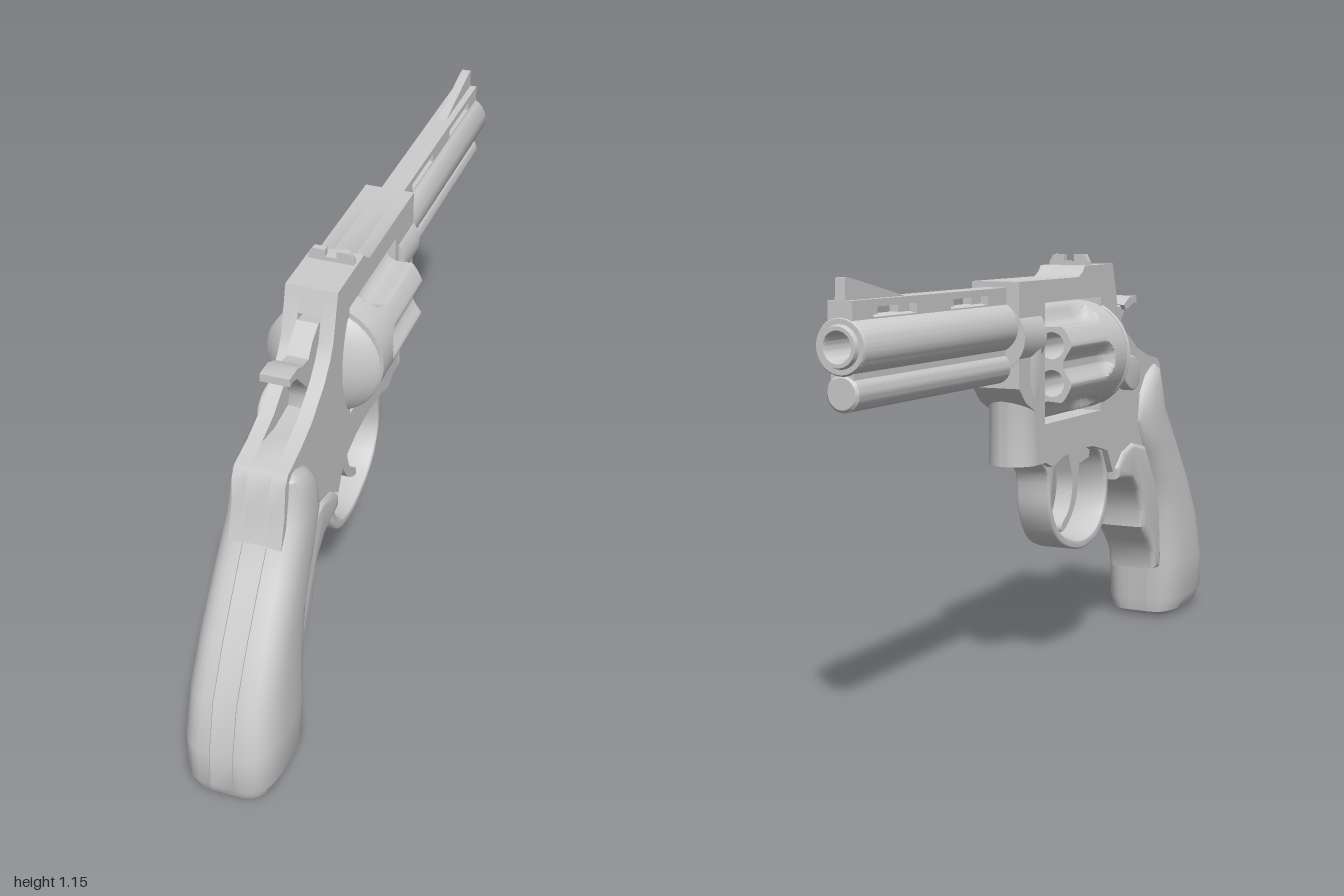
import * as THREE from 'three';
import { toCreasedNormals } from 'three/addons/utils/BufferGeometryUtils.js';

const grey = new THREE.MeshStandardMaterial({ color: 0xcccccc });
const greyDouble = new THREE.MeshStandardMaterial({ color: 0xcccccc, side: THREE.DoubleSide });

// Profiles are [z, y] points; returned counter-clockwise so that outlines and holes both face out
function toVectors(pts, smooth) {
  let v = pts.map(([z, y]) => new THREE.Vector2(-z, y));
  if (smooth) {
    const c = new THREE.CatmullRomCurve3(v.map(p => new THREE.Vector3(p.x, p.y, 0)), true, 'centripetal');
    v = c.getPoints(pts.length * 4).slice(0, -1).map(p => new THREE.Vector2(p.x, p.y));
  }
  return THREE.ShapeUtils.isClockWise(v) ? v.reverse() : v;
}

// Profile extruded sideways from x0 to x1
function slab(name, pts, x0, x1, { holes = [], smooth = false, bevel = 0 } = {}) {
  const shape = new THREE.Shape(toVectors(pts, smooth));
  for (const h of holes) shape.holes.push(new THREE.Path(toVectors(h, smooth)));
  const geo = new THREE.ExtrudeGeometry(shape, {
    depth: x1 - x0 - 2 * bevel, bevelEnabled: bevel > 0, bevelThickness: bevel,
    bevelSize: bevel, bevelOffset: -bevel, bevelSegments: 3,
  });
  geo.rotateY(Math.PI / 2).translate(x0 + bevel, 0, 0);
  return part(name, geo);
}

function part(name, geo, mat = grey) {
  const mesh = new THREE.Mesh(toCreasedNormals(geo, 0.6), mat);
  mesh.name = name;
  return mesh;
}

// Round bar along z
function rod(name, r, z0, z1, y) {
  const geo = new THREE.CylinderGeometry(r, r, z1 - z0, 32).rotateX(Math.PI / 2);
  return part(name, geo.translate(0, y, (z0 + z1) / 2));
}

// Solid of revolution along z from [radius, z] points
function turned(name, pts, y) {
  const geo = new THREE.LatheGeometry(pts.map(p => new THREE.Vector2(...p)), 40);
  return part(name, geo.rotateX(Math.PI / 2).translate(0, y, 0), greyDouble);
}

// Fluted drum with six chambers
function makeDrum() {
  const R = 0.154, Z0 = -0.106, Z1 = 0.238, step = Math.PI / 3;
  const radius = (a, z) => {
    const k = Math.max(0, (z - 0.11) / 0.05);
    if (k >= 1) return R;
    const w = 0.05 * Math.sqrt(1 - k * k);
    const t = R * Math.sin(a - Math.round(a / step) * step) / w;
    return R - Math.max(0, 0.7 * w * (1 - t * t));
  };
  const g = new THREE.Group();
  g.name = 'drum';
  const wall = new THREE.CylinderGeometry(1, 1, Z1 - Z0, 180, 44, true)
    .rotateX(Math.PI / 2).translate(0, 0, (Z0 + Z1) / 2);
  const p = wall.attributes.position;
  for (let i = 0; i < p.count; i++) {
    const a = Math.atan2(p.getY(i), p.getX(i)), r = radius(a, p.getZ(i));
    p.setXY(i, r * Math.cos(a), r * Math.sin(a));
  }
  g.add(part('drumWall', wall));
  const face = new THREE.Shape(Array.from({ length: 180 }, (_, i) => {
    const a = i * Math.PI / 90, r = radius(a, Z0);
    return new THREE.Vector2(r * Math.cos(a), r * Math.sin(a));
  }));
  for (let i = 0; i < 6; i++) {
    const a = (i + 0.5) * step, x = 0.1 * Math.cos(a), y = 0.1 * Math.sin(a);
    face.holes.push(new THREE.Path().absarc(x, y, 0.036, 0, Math.PI * 2, true));
    const bore = new THREE.CylinderGeometry(0.036, 0.036, 0.3, 24, 1, true).rotateX(Math.PI / 2);
    g.add(part('chamber', bore.translate(x, y, Z0 + 0.15), greyDouble));
  }
  g.add(part('drumFace', new THREE.ShapeGeometry(face, 24).translate(0, 0, Z0), greyDouble));
  g.add(part('drumBack', new THREE.CircleGeometry(R, 60).translate(0, 0, Z1), greyDouble));
  g.position.y = 0.872;
  return g;
}

// Stations of the grip, bottom to top: back z, y, front z, y, half-width
const gripStations = [
  [0.93, 0.01, 0.73, 0.006, 0.085], [0.985, 0.033, 0.695, 0.022, 0.11], [1, 0.07, 0.688, 0.06, 0.124],
  [0.993, 0.174, 0.684, 0.2, 0.128], [0.955, 0.31, 0.665, 0.345, 0.121], [0.88, 0.44, 0.634, 0.452, 0.115],
  [0.784, 0.576, 0.57, 0.55, 0.11], [0.704, 0.683, 0.517, 0.65, 0.106], [0.683, 0.763, 0.53, 0.735, 0.1],
  [0.68, 0.8, 0.57, 0.785, 0.088], [0.665, 0.815, 0.62, 0.81, 0.07],
];

// One grip panel, lofted with a rounded outer side and flat inner side
function gripPanel(name, side) {
  const n = 16, inner = 0.0315, pos = [], idx = [];
  for (const [bz, by, fz, fy, w] of gripStations) {
    for (let j = 0; j <= n; j++) {
      const t = Math.PI * j / n, c = Math.cos(t);
      const k = 0.5 - 0.5 * Math.sign(c) * Math.abs(c) ** 0.75;
      const x = inner + (w - inner) * Math.abs(Math.sin(t)) ** 0.7;
      pos.push(side * x, by + (fy - by) * k, bz + (fz - bz) * k);
    }
  }
  const m = n + 1, last = (gripStations.length - 1) * m;
  const tri = (a, b, c) => (side > 0 ? idx.push(a, b, c) : idx.push(a, c, b));
  for (let i = 0; i < last; i += m) {
    for (let j = 0; j < m; j++) {
      const k = (j + 1) % m;
      tri(i + j, i + k, i + m + j);
      tri(i + k, i + m + k, i + m + j);
    }
  }
  for (let j = 1; j < n; j++) {
    tri(0, j + 1, j);
    tri(last, last + j, last + j + 1);
  }
  const geo = new THREE.BufferGeometry();
  geo.setAttribute('position', new THREE.Float32BufferAttribute(pos, 3));
  geo.setIndex(idx);
  return part(name, geo, greyDouble);
}

export function createModel() {
  const model = new THREE.Group();
  model.name = 'revolver';
  const add = (...m) => model.add(...m);

  // Frame: two side plates and a core with the hammer slot
  const base = [[0.33, 1.125], [0.14, 1.125], [0.125, 1.108], [0.1, 1.095], [-0.26, 1.095], [-0.26, 0.82],
    [-0.222, 0.78], [-0.16, 0.75], [-0.15, 0.608], [-0.104, 0.608], [-0.06, 0.59], [0, 0.61], [0.1, 0.62],
    [0.2, 0.615], [0.3, 0.59], [0.34, 0.52], [0.37, 0.545], [0.42, 0.57], [0.5, 0.57], [0.58, 0.535],
    [0.735, 0.64], [0.708, 0.72], [0.697, 0.8], [0.677, 0.827], [0.597, 0.843]];
  const back = [[0.517, 0.87], [0.43, 0.924], [0.39, 0.965], [0.367, 1.0]];
  const slot = [[0.52, 0.83], [0.4, 0.84], [0.31, 0.95], [0.31, 1.05], [0.35, 1.06]];
  const holes = [[[0.25, 1.035], [0.25, 0.712], [-0.11, 0.712], [-0.11, 1.035]]];
  add(slab('frameSideLeft', [...base, ...back], 0.03, 0.068, { holes }));
  add(slab('frameSideRight', [...base, ...back], -0.068, -0.03, { holes }));
  add(slab('frameCore', [...base, ...slot], -0.03, 0.03, { holes }));

  // Rounded front of the frame below the barrel
  const lug = [[0, 0.608], [0.068, 0.608], [0.068, 0.775], [0.08, 0.83], [0.08, 0.92]];
  add(part('frameLug', new THREE.LatheGeometry(lug.map(p => new THREE.Vector2(...p)), 24, Math.PI / 2, Math.PI)
    .translate(0, 0, -0.154), greyDouble));
  add(rod('barrelCollar', 0.086, -0.262, -0.135, 0.95));
  add(rod('drumAxle', 0.035, -0.14, 0.2, 0.872));
  add(turned('recoilShield', [[0, 0.25], [0.152, 0.25], [0.155, 0.258], [0.148, 0.268],
    [0.11, 0.29], [0.068, 0.305], [0, 0.318]], 0.872));
  add(makeDrum());

  // Barrel and under-lug
  add(turned('barrel', [[0, -0.8], [0.032, -0.8], [0.032, -0.99], [0.037, -1], [0.046, -1], [0.05, -0.988],
    [0.062, -0.988], [0.066, -0.982], [0.066, -0.12]], 0.979));
  add(turned('underLug', [[0, -0.985], [0.036, -0.985], [0.043, -0.978], [0.043, -0.2]], 0.875));
  add(slab('lugWeb', [[-0.2, 0.93], [-0.98, 0.93], [-0.98, 0.88], [-0.2, 0.88]], -0.03, 0.03));

  // Rib: long recesses in the outer layers, shorter openings through the core
  const ribOutline = [[-0.25, 1.08], [-0.985, 1.08], [-0.985, 1.02], [-0.25, 1.02]];
  const ribSlot = (a, b) => [[a, 1.04], [a, 1.063], [b, 1.063], [b, 1.04]];
  for (const [x0, x1, inset] of [[-0.032, -0.012, 0], [-0.012, 0.012, 0.05], [0.012, 0.032, 0]]) {
    add(slab('rib', ribOutline, x0, x1,
      { holes: [ribSlot(-0.36 - inset, -0.55 + inset), ribSlot(-0.71 - inset, -0.9 + inset)] }));
  }

  // Sights
  add(slab('frontSight', [[-0.71, 1.075], [-0.965, 1.13], [-0.982, 1.13], [-0.985, 1.075]], -0.013, 0.013));
  const sight = new THREE.Shape([[-0.06, 1.115], [0.06, 1.115], [0.06, 1.135], [0.048, 1.155], [0.015, 1.155],
    [0.015, 1.136], [-0.015, 1.136], [-0.015, 1.155], [-0.048, 1.155], [-0.06, 1.135]]
    .map(p => new THREE.Vector2(...p)));
  add(part('rearSight', new THREE.ExtrudeGeometry(sight, { depth: 0.018, bevelEnabled: false })
    .translate(0, 0, 0.18)));

  // Hammer with a wider thumb spur
  add(slab('hammer', [[0.36, 1.047], [0.404, 1.02], [0.43, 0.988], [0.463, 0.993], [0.5, 1.008], [0.506, 0.98],
    [0.463, 0.934], [0.436, 0.905], [0.425, 0.87], [0.43, 0.83], [0.32, 0.86], [0.32, 1.04]], -0.028, 0.028));
  add(slab('hammerSpur', [[0.572, 1.023], [0.52, 1.022], [0.475, 1.0], [0.49, 0.985], [0.51, 0.99],
    [0.55, 1.004], [0.572, 1.002]], -0.04, 0.036));

  // Trigger and guard
  add(slab('trigger', [[0.2, 0.62], [0.195, 0.54], [0.18, 0.465], [0.14, 0.412], [0.085, 0.383], [0.083, 0.4],
    [0.131, 0.44], [0.155, 0.51], [0.135, 0.58], [0.12, 0.63]], -0.025, 0.025, { smooth: true }));
  add(slab('triggerHeel', [[0.28, 0.62], [0.265, 0.572], [0.18, 0.56], [0.18, 0.63]], -0.025, 0.025));
  add(slab('triggerGuard', [[-0.1, 0.615], [-0.056, 0.565], [-0.04, 0.458], [0.008, 0.377], [0.1, 0.335],
    [0.195, 0.324], [0.29, 0.35], [0.34, 0.415], [0.35, 0.495], [0.375, 0.56], [0.4, 0.61], [0.2, 0.65],
    [0, 0.65]], -0.05, 0.05, { smooth: true, bevel: 0.006, holes: [[[-0.024, 0.468], [0.02, 0.4], [0.1, 0.362],
    [0.195, 0.35], [0.276, 0.377], [0.32, 0.44], [0.324, 0.505], [0.29, 0.58], [0.2, 0.612], [0.08, 0.615],
    [0, 0.6], [-0.022, 0.54]]] }));

  // Grip: panels, centre strip and finger rest
  add(gripPanel('gripPanelLeft', 1), gripPanel('gripPanelRight', -1));
  const strip = [...gripStations.map(s => [s[0], s[1]]), ...gripStations.map(s => [s[2], s[3]]).reverse()];
  add(slab('gripStrip', strip, -0.03, 0.03));
  add(slab('fingerRest', [[0.355, 0.53], [0.4, 0.573], [0.474, 0.592], [0.57, 0.57], [0.65, 0.452],
    [0.69, 0.345], [0.7, 0.2], [0.69, 0.169], [0.645, 0.172], [0.634, 0.228], [0.597, 0.27], [0.55, 0.32],
    [0.55, 0.37], [0.517, 0.44], [0.463, 0.48], [0.41, 0.488], [0.36, 0.495]], -0.078, 0.078, { bevel: 0.016 }));

  // Release latch on the right side
  add(slab('releaseLatch', [[0.34, 0.85], [0.42, 0.855], [0.46, 0.82], [0.45, 0.77], [0.41, 0.755],
    [0.35, 0.79]], -0.102, -0.06, { bevel: 0.006, smooth: true }));
  return model;
}
